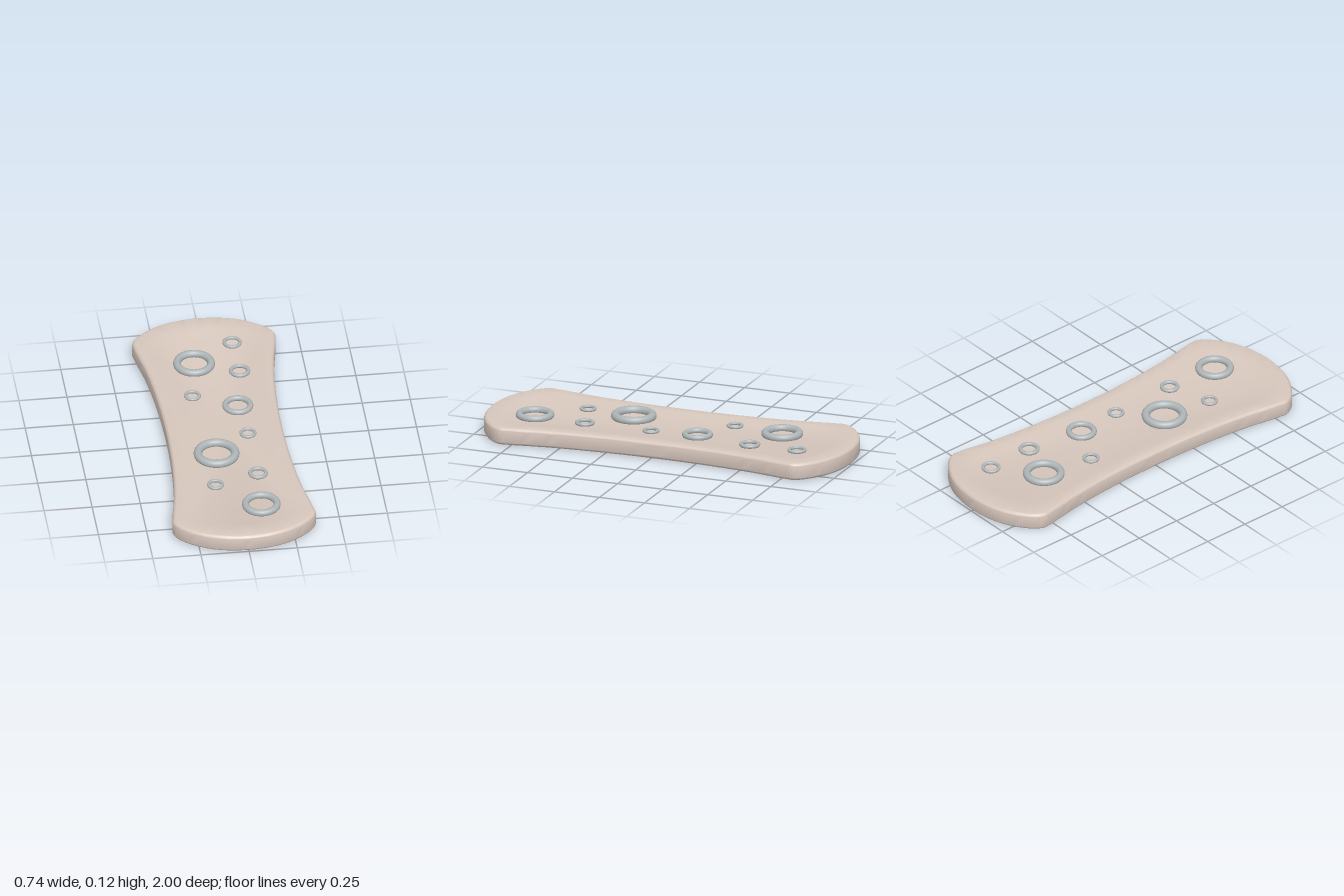
import * as THREE from 'three';
import { toCreasedNormals } from 'three/addons/utils/BufferGeometryUtils.js';

const N = 160;

// Closed smooth outline from one quadrant of [x, z] points, mirrored to all four
function outline(quadrant) {
  const q = quadrant.map(([x, z]) => new THREE.Vector3(x, 0, z));
  const flip = (p, sx, sz) => new THREE.Vector3(p.x * sx, 0, p.z * sz);
  const half = [...q, ...q.slice(0, -1).reverse().map(p => flip(p, -1, 1))];
  const pts = [...half, ...half.slice(1, -1).reverse().map(p => flip(p, 1, -1))];
  const curve = new THREE.CatmullRomCurve3(pts, true, 'centripetal');
  return Array.from({ length: N }, (_, i) => curve.getPoint(i / N));
}

// Moves an outline inwards along its normals
function inset(loop, d) {
  return loop.map((p, i) => {
    const t = loop[(i + 1) % N].clone().sub(loop[(i + N - 1) % N]).normalize();
    return new THREE.Vector3(p.x - t.z * d, 0, p.z + t.x * d);
  });
}

// Skins stacked [loop, y] sections from bottom to top and caps both ends
function skin(sections) {
  const pos = [], idx = [];
  sections.forEach(([loop, y]) => loop.forEach(p => pos.push(p.x, y, p.z)));
  const last = sections.length - 1;
  for (let s = 0; s < last; s++) {
    for (let i = 0; i < N; i++) {
      const a = s * N + i, b = s * N + (i + 1) % N;
      idx.push(a, a + N, b, b, a + N, b + N);
    }
  }
  const bottom = pos.length / 3, top = bottom + 1;
  pos.push(0, sections[0][1], 0, 0, sections[last][1], 0);
  for (let i = 0; i < N; i++) {
    const j = (i + 1) % N;
    idx.push(bottom, i, j, top, last * N + j, last * N + i);
  }
  const g = new THREE.BufferGeometry();
  g.setAttribute('position', new THREE.Float32BufferAttribute(pos, 3));
  g.setIndex(idx);
  return toCreasedNormals(g, 0.5);
}

export function createModel() {
  const model = new THREE.Group();
  const clay = new THREE.MeshStandardMaterial({ color: 0xd6c6bc });
  const steel = new THREE.MeshStandardMaterial({ color: 0xaeb5b7 });

  // Waisted plate with rounded edges and a shallow sunken panel on top
  const outer = outline([[0.3, 0], [0.309, 0.3], [0.333, 0.56], [0.368, 0.77],
    [0.37, 0.82], [0.33, 0.88], [0.19, 0.968], [0, 1]]);
  const rim = outline([[0.235, 0], [0.242, 0.3], [0.262, 0.54], [0.284, 0.7],
    [0.277, 0.77], [0.235, 0.83], [0.13, 0.882], [0, 0.895]]);
  const floor = outline([[0.2, 0], [0.207, 0.3], [0.225, 0.53], [0.246, 0.69],
    [0.24, 0.75], [0.205, 0.81], [0.11, 0.86], [0, 0.872]]);
  const r = 0.02, height = 0.092, sections = [];
  for (let k = 0; k <= 6; k++) {
    const a = k / 6 * Math.PI / 2;
    sections.push([inset(outer, r * (1 - Math.sin(a))), r * (1 - Math.cos(a))]);
  }
  for (let k = 0; k <= 6; k++) {
    const a = k / 6 * Math.PI / 2;
    sections.push([inset(outer, r * (1 - Math.cos(a))), height - r * (1 - Math.sin(a))]);
  }
  sections.push([rim, height], [floor, 0.084]);
  const plate = new THREE.Mesh(skin(sections), clay);
  plate.name = 'plate';
  model.add(plate);

  // Rings half sunk in the panel: x, z, outer radius, inner radius
  const rings = [
    [0.14, -0.75, 0.05, 0.032], [-0.08, -0.58, 0.108, 0.068],
    [0.145, -0.49, 0.055, 0.034], [-0.125, -0.3, 0.044, 0.027],
    [0.095, -0.18, 0.08, 0.05], [0.115, 0.07, 0.044, 0.027],
    [-0.07, 0.24, 0.118, 0.074], [0.12, 0.435, 0.051, 0.031],
    [-0.11, 0.51, 0.044, 0.027], [0.1, 0.72, 0.1, 0.063],
  ];
  rings.forEach(([x, z, ro, ri], i) => {
    const tube = (ro - ri) / 2;
    const g = new THREE.TorusGeometry((ro + ri) / 2, tube, 16, 48).rotateX(Math.PI / 2);
    const ring = new THREE.Mesh(g, steel);
    ring.name = `ring${i + 1}`;
    ring.position.set(x, 0.087 + tube * 0.45, z);
    model.add(ring);
  });
  return model;
}
